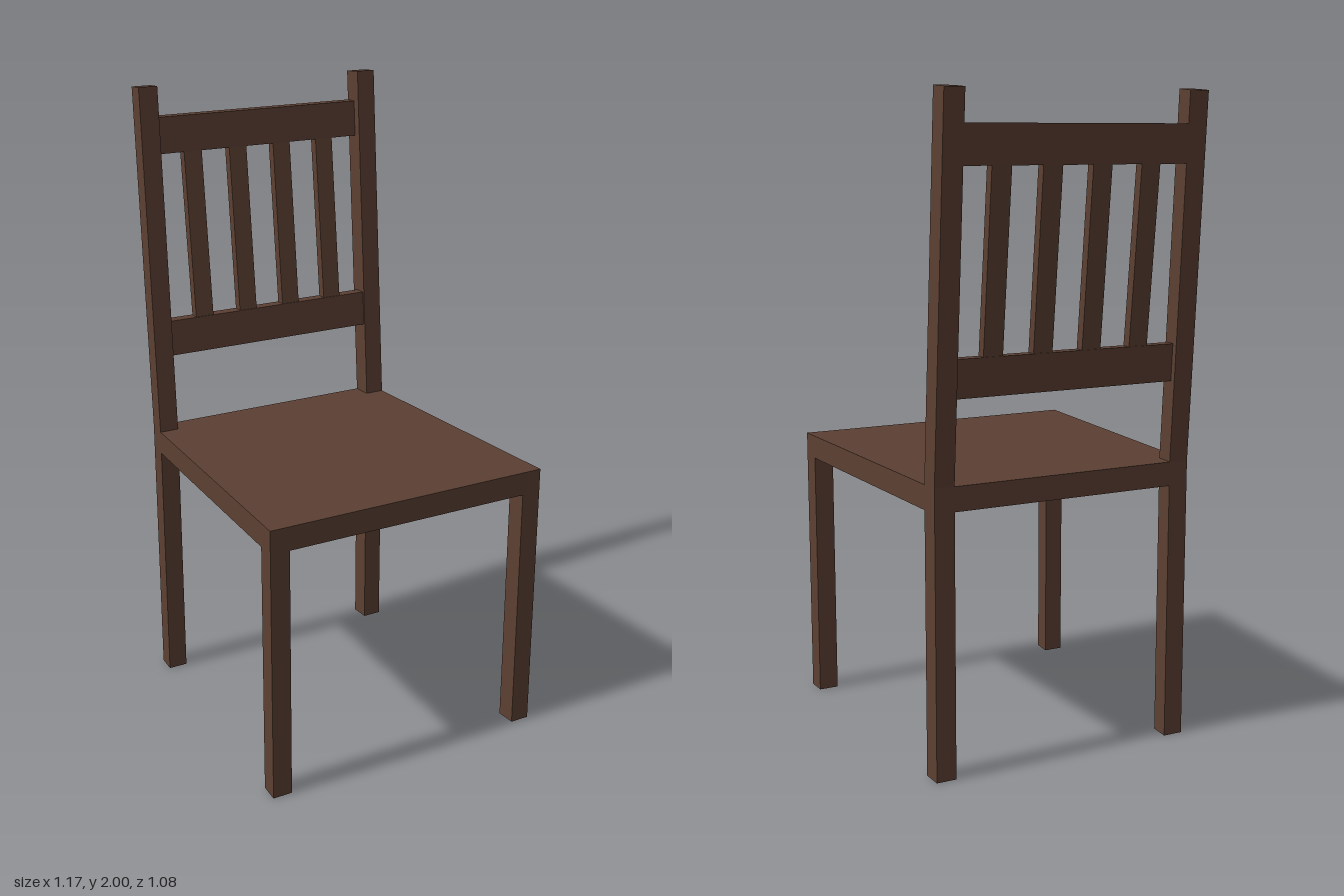
import * as THREE from 'three';

const SEAT_BOTTOM = 0.81, SEAT_TOP = 0.885, HALF_DEPTH = 0.467, LEG = 0.063;

// Half width of the tapered seat at depth z (wider at the front)
const halfWidth = (z) => 0.4487 + 0.0508 * z;
// Backward lean of the back posts at height y
const lean = (y) => -0.0685 * Math.max(0, y - SEAT_TOP);

export function createModel() {
  const wood = new THREE.MeshStandardMaterial({ color: 0x5c4033 });
  wood.name = 'darkBrownWood';
  const chair = new THREE.Group();
  chair.name = 'chair';

  // Unit box whose corners (u, v, w in 0..1) are moved by a rule
  function block(name, rule) {
    const g = new THREE.BoxGeometry(1, 1, 1);
    const p = g.attributes.position;
    for (let i = 0; i < p.count; i++) {
      p.setXYZ(i, ...rule(p.getX(i) + 0.5, p.getY(i) + 0.5, p.getZ(i) + 0.5));
    }
    g.computeVertexNormals();
    const m = new THREE.Mesh(g, wood);
    m.name = name;
    chair.add(m);
  }
  const mix = THREE.MathUtils.lerp;

  // Tapered seat
  block('seat', (u, v, w) => {
    const z = mix(-HALF_DEPTH, HALF_DEPTH, w);
    return [mix(-1, 1, u) * halfWidth(z), mix(SEAT_BOTTOM, SEAT_TOP, v), z];
  });

  // Legs and posts follow the slanted sides of the seat
  const sideX = (side, u, z) => side * (halfWidth(z) - LEG * (side > 0 ? 1 - u : u));
  for (const side of [-1, 1]) {
    const label = side > 0 ? 'Right' : 'Left';
    for (const [end, z0] of [['front', HALF_DEPTH - LEG], ['back', -HALF_DEPTH]]) {
      block(end + label + 'Leg', (u, v, w) => {
        const z = z0 + LEG * w;
        return [sideX(side, u, z), SEAT_BOTTOM * v, z];
      });
    }
    // Leaning post, its top cut square to the lean
    block('back' + label + 'Post', (u, v, w) => {
      const y = mix(SEAT_TOP, mix(1.995, 2, w), v);
      const z = -HALF_DEPTH + LEG * w + lean(y);
      return [sideX(side, u, z), y, z];
    });
  }

  // Back rails: the lower one sits further forward
  const RAIL = 0.037;
  const rails = [['lowerRail', 1.135, 1.25, 0.02], ['upperRail', 1.785, 1.9, 0]];
  for (const [name, y0, y1, offset] of rails) {
    block(name, (u, v, w) => {
      const y = mix(y0, y1, v);
      const z = -HALF_DEPTH + lean(y) + offset + RAIL * w;
      return [mix(-1, 1, u) * (halfWidth(z) - LEG), y, z];
    });
  }

  // Four upright slats between the rails
  for (let i = 0; i < 4; i++) {
    const x = (i - 1.5) * 0.16;
    block('slat' + (i + 1), (u, v, w) => {
      const y = mix(1.25, 1.785, v);
      const z = -HALF_DEPTH + lean(y) + mix(0.02, 0, v) + mix(0.003, 0.034, w);
      return [x + 0.062 * (u - 0.5), y, z];
    });
  }

  // Turn the chair to its resting angle
  chair.rotation.y = THREE.MathUtils.degToRad(78);
  chair.position.set(0.031, 0, -0.016);
  const model = new THREE.Group();
  model.name = 'slatBackChair';
  model.add(chair);
  return model;
}
